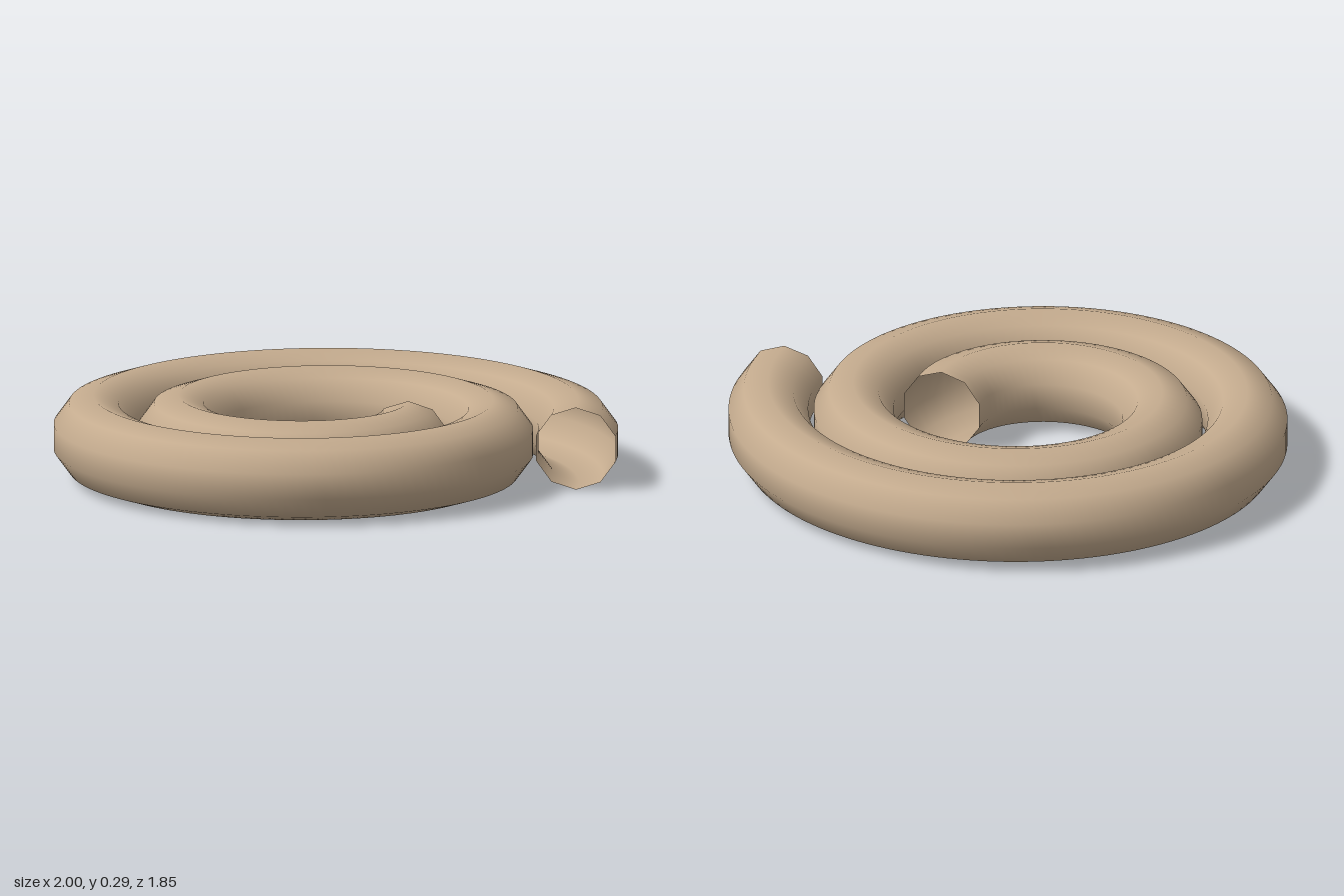
import * as THREE from 'three';

export function createModel() {
  const group = new THREE.Group();
  group.name = 'spiralCoil';

  const tan = new THREE.MeshStandardMaterial({ color: 0xc4ab8e, side: THREE.DoubleSide });
  tan.name = 'tan';

  // Flat spiral centreline: two turns, radius growing evenly
  const steps = 80, turns = 2, startRadius = 0.335, growth = 0.0477, tubeRadius = 0.147;
  const points = [];
  for (let i = 0; i <= steps; i++) {
    const a = (i / steps) * turns * Math.PI * 2;
    const r = startRadius + growth * a;
    points.push(new THREE.Vector3(r * Math.cos(a), 0, r * Math.sin(a)));
  }

  // Open-ended ten-sided tube, centred and resting on the ground
  const geometry = new THREE.TubeGeometry(new THREE.CatmullRomCurve3(points), 200, tubeRadius, 10, false);
  geometry.center();
  geometry.translate(0, tubeRadius, 0);

  const coil = new THREE.Mesh(geometry, tan);
  coil.name = 'coiledTube';
  group.add(coil);
  return group;
}
